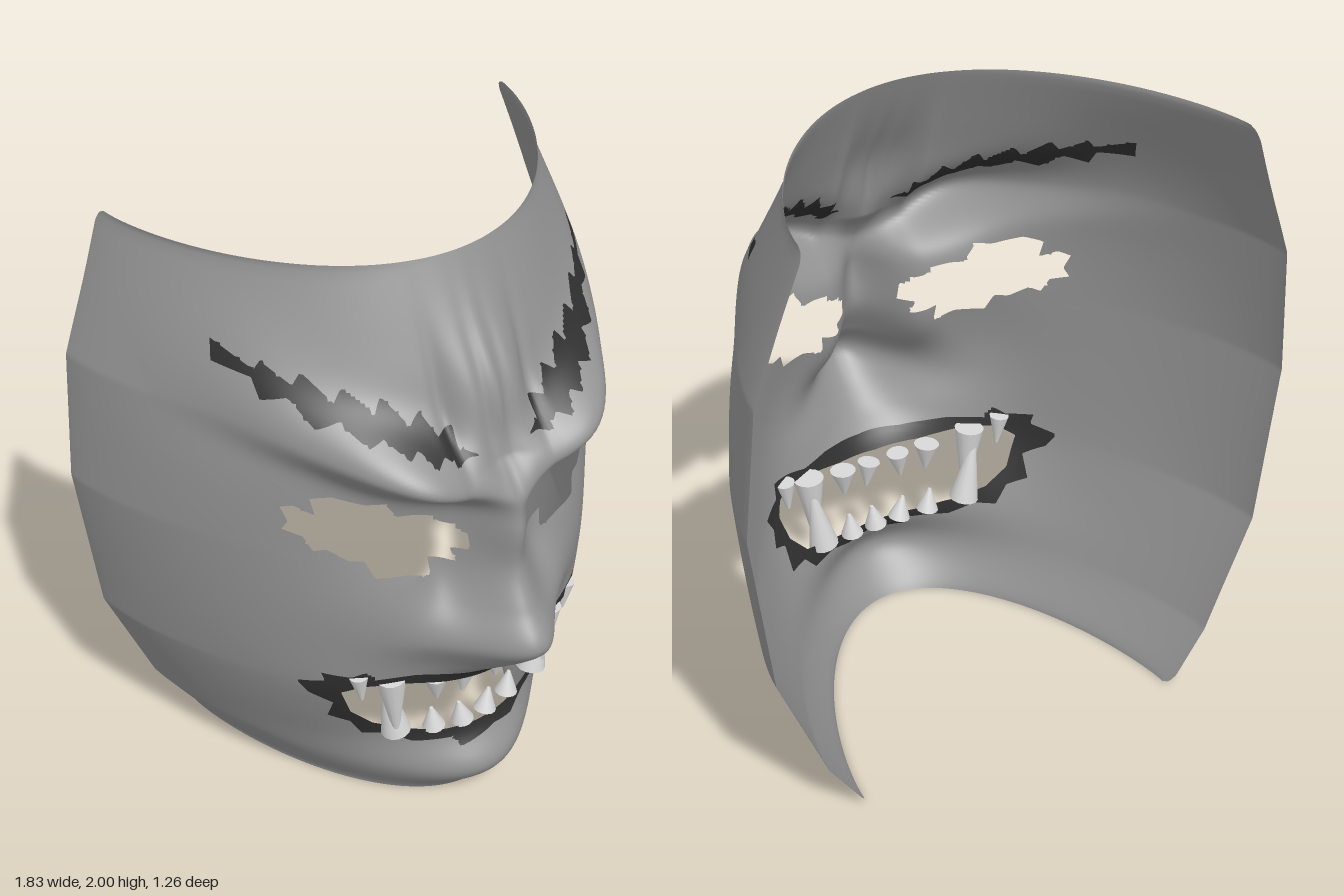
import * as THREE from 'three';

const mat = (name, color, side = THREE.FrontSide) => {
  const m = new THREE.MeshStandardMaterial({ color, side });
  m.name = name;
  return m;
};

// Value at y on a curve through [y, value] points; smooth or straight
function along(points, y, smooth = true) {
  const n = points.length;
  if (y <= points[0][0]) return points[0][1];
  if (y >= points[n - 1][0]) return points[n - 1][1];
  let i = 0;
  while (y > points[i + 1][0]) i++;
  const [y0, a] = points[i], [y1, b] = points[i + 1];
  const h = y1 - y0, t = (y - y0) / h;
  if (!smooth) return a + (b - a) * t;
  const slope = (k) => {
    const p = points[Math.max(k - 1, 0)], q = points[Math.min(k + 1, n - 1)];
    return (q[1] - p[1]) / (q[0] - p[0]);
  };
  const t2 = t * t, t3 = t2 * t;
  return a * (2 * t3 - 3 * t2 + 1) + b * (3 * t2 - 2 * t3)
    + h * slope(i) * (t3 - 2 * t2 + t) + h * slope(i + 1) * (t3 - t2);
}
const bell = (d, s) => Math.exp(-(d * d) / (2 * s * s));

// Profiles from the bottom edge to the top edge
const WIDTH = [[0, 0.56], [0.19, 0.69], [0.58, 0.85], [1.12, 0.915], [1.55, 0.88], [2, 0.72]];
const FRONT = [[0, 0.25], [0.15, 0.3], [0.3, 0.305], [0.45, 0.325], [0.6, 0.36], [0.8, 0.38], [1.1, 0.385],
  [1.35, 0.375], [1.5, 0.345], [1.66, 0.305], [1.8, 0.25], [2, 0.165]];
const BACK = [[0, -0.585], [0.012, -0.61], [0.04, -0.622], [1.1, -0.605], [1.96, -0.63], [1.988, -0.62], [2, -0.595]];
const NOSE = [[0.5, 0], [0.59, 0.035], [0.66, 0.11], [0.74, 0.19], [0.82, 0.245], [0.93, 0.175],
  [1.05, 0.115], [1.2, 0.125], [1.3, 0.07], [1.42, 0]];
const BROW = [[0, 0.05], [0.1, 0.095], [0.25, 0.17], [0.33, 0.185], [0.41, 0.165], [0.52, 0.1], [0.66, 0.03], [0.78, 0]];

// Depth of the face at x, y
function depth(x, y) {
  const ax = Math.abs(x);
  // straight-sided outline at the rim, smooth curvature towards the middle
  const edge = along(WIDTH, y, false), rim = Math.pow(Math.min(ax / edge, 1), 6);
  const s = Math.min(ax / (along(WIDTH, y) * (1 - rim) + edge * rim), 1);
  const zb = along(BACK, y, false);
  let z = zb + (along(FRONT, y) - zb) * Math.pow(1 - s * s, 0.7);
  // nose
  const noseWidth = along([[0.6, 0.12], [0.82, 0.11], [1.05, 0.065], [1.3, 0.06]], y);
  z += along(NOSE, y) * bell(x, noseWidth);
  // nostril wings and cheeks, steeper underneath
  z += 0.04 * bell(ax - 0.19, 0.09) * bell(y - 0.8, y < 0.8 ? 0.06 : 0.09);
  z += 0.035 * bell(ax - 0.38, 0.12) * bell(y - 0.88, 0.13);
  z -= 0.03 * bell(ax - 0.17, 0.05) * bell(y - 1.02, 0.1);
  // fullness around the mouth corners
  z += 0.045 * bell(ax - 0.48, 0.12) * bell(y - 0.52, 0.18);
  // slanted brow ridge over sunken eyes
  const dy = y - (1.32 + 0.36 * ax);
  z += along(BROW, ax) * bell(dy, dy > 0 ? 0.09 : 0.05);
  z -= 0.035 * bell(ax - 0.25, 0.12) * bell(y - 1.2, 0.09);
  // temples
  z += 0.03 * bell(ax - 0.62, 0.1) * bell(y - 1.72, 0.12);
  // raised frown with wrinkles
  const frown = bell(y - 1.6, 0.14);
  z += 0.06 * bell(x, 0.07) * frown;
  for (const w of [0.035, 0.15]) z -= 0.016 * bell(ax - w, 0.016) * frown;
  z += 0.015 * bell(ax - 0.09, 0.03) * frown;
  // chin
  z += 0.085 * bell(x, 0.2) * bell(y - 0.14, 0.075);
  return z;
}

// Outlines on the face, as x, y points
const mirrored = (pts) => pts.map(([x, y]) => [-x, y]);
const EYE = [[0.105, 1.16], [0.14, 1.19], [0.17, 1.2], [0.2, 1.23], [0.25, 1.24], [0.29, 1.24], [0.33, 1.3], [0.38, 1.3],
  [0.46, 1.33], [0.51, 1.32], [0.5, 1.26], [0.545, 1.29], [0.575, 1.28], [0.56, 1.23], [0.575, 1.2],
  [0.53, 1.18], [0.51, 1.13], [0.48, 1.14], [0.43, 1.1], [0.39, 1.1], [0.37, 1.04], [0.28, 1.04],
  [0.205, 1.015], [0.21, 1.08], [0.13, 1.05], [0.145, 1.1], [0.1, 1.1]];
const BROW_HAIR = [[0.08, 1.46], [0.14, 1.49], [0.135, 1.545], [0.19, 1.53], [0.22, 1.6], [0.26, 1.57],
  [0.31, 1.65], [0.34, 1.61], [0.4, 1.675], [0.43, 1.64], [0.48, 1.715], [0.51, 1.68], [0.56, 1.735], [0.58, 1.71],
  [0.64, 1.77], [0.655, 1.71], [0.59, 1.69], [0.59, 1.635], [0.53, 1.65], [0.5, 1.58], [0.44, 1.6], [0.4, 1.545],
  [0.35, 1.56], [0.31, 1.51], [0.27, 1.525], [0.24, 1.475], [0.2, 1.49], [0.16, 1.45], [0.12, 1.465]];
const MOUTH = [[-0.45, 0.56], [-0.4, 0.59], [-0.3, 0.59], [-0.15, 0.56], [0, 0.55], [0.15, 0.56], [0.3, 0.59],
  [0.43, 0.585], [0.45, 0.54], [0.42, 0.45], [0.35, 0.37], [0.24, 0.33], [0.12, 0.305], [0, 0.3],
  [-0.12, 0.305], [-0.24, 0.335], [-0.34, 0.38], [-0.41, 0.45]];
const LIPS = [[-0.55, 0.59], [-0.49, 0.61], [-0.5, 0.645], [-0.43, 0.635], [-0.4, 0.655], [-0.36, 0.62], [-0.25, 0.625],
  [-0.1, 0.605], [0.05, 0.605], [0.2, 0.62], [0.3, 0.615], [0.38, 0.64], [0.45, 0.655], [0.45, 0.6],
  [0.52, 0.585], [0.49, 0.53], [0.5, 0.48], [0.45, 0.45], [0.44, 0.36], [0.37, 0.35], [0.32, 0.29],
  [0.22, 0.285], [0.14, 0.25], [0.06, 0.26], [-0.08, 0.235], [-0.1, 0.27], [-0.22, 0.275], [-0.3, 0.32],
  [-0.36, 0.32], [-0.4, 0.39], [-0.46, 0.42], [-0.46, 0.5], [-0.52, 0.54]];
const HOLES = [EYE, mirrored(EYE), MOUTH];
const PAINT = { eyebrowLeft: BROW_HAIR, eyebrowRight: mirrored(BROW_HAIR), lips: LIPS };

function inside(poly, x, y) {
  let hit = false;
  poly.forEach(([x1, y1], i) => {
    const [x0, y0] = poly.at(i - 1);
    if ((y0 > y) !== (y1 > y) && x < x0 + ((x1 - x0) * (y - y0)) / (y1 - y0)) hit = !hit;
  });
  return hit;
}

// Pull a grid point onto a nearby outline so that cuts are clean
function snap(x, y, outlines) {
  let best = 0.006, out = [x, y];
  for (const poly of outlines) poly.forEach(([x1, y1], i) => {
    const [x0, y0] = poly.at(i - 1);
    const dx = x1 - x0, dy = y1 - y0;
    const t = THREE.MathUtils.clamp(((x - x0) * dx + (y - y0) * dy) / (dx * dx + dy * dy), 0, 1);
    const px = x0 + dx * t, py = y0 + dy * t, d = Math.hypot(px - x, py - y);
    if (d < best) { best = d; out = [px, py]; }
  });
  return out;
}

// Face shell from cross-sections, sorted into skin, painted parts and holes
function buildShell(group, skin, paint) {
  const NX = 240, NY = 220, pos = [], all = [];
  const outlines = [...HOLES, ...Object.values(PAINT)];
  for (let j = 0; j <= NY; j++) for (let i = 0; i <= NX; i++) {
    const gy = (2 * j) / NY;
    const gx = along(WIDTH, gy, false) * Math.sin((i / NX - 0.5) * Math.PI);
    const [x, y] = snap(gx, gy, outlines);
    pos.push(x, y, depth(x, y));
  }
  for (let j = 0; j < NY; j++) for (let i = 0; i < NX; i++) {
    const a = j * (NX + 1) + i, b = a + 1, c = a + NX + 1, d = c + 1;
    if (i < NX / 2) all.push([a, b, d], [a, d, c]);
    else all.push([a, b, c], [b, d, c]);
  }
  const base = new THREE.BufferGeometry();
  base.setAttribute('position', new THREE.Float32BufferAttribute(pos, 3));
  base.setIndex(all.flat());
  base.computeVertexNormals();

  const parts = { face: [] };
  for (const name in PAINT) parts[name] = [];
  for (const tri of all) {
    const x = tri.reduce((s, k) => s + pos[3 * k], 0) / 3;
    const y = tri.reduce((s, k) => s + pos[3 * k + 1], 0) / 3;
    if (HOLES.some((h) => inside(h, x, y))) continue;
    const name = Object.keys(PAINT).find((k) => inside(PAINT[k], x, y)) || 'face';
    parts[name].push(...tri);
  }
  for (const name in parts) {
    const g = base.clone();
    g.setIndex(parts[name]);
    const mesh = new THREE.Mesh(g, name === 'face' ? skin : paint);
    mesh.name = name;
    group.add(mesh);
  }
}

// Conical tooth from its root to its tip, set back behind the lips
function tooth(name, x0, y0, x1, y1, radius, setback, material) {
  const z = depth(x0, y0) - setback;
  const root = new THREE.Vector3(x0, y0, z), tip = new THREE.Vector3(x1, y1, z);
  const dir = tip.clone().sub(root), len = dir.length();
  const mesh = new THREE.Mesh(new THREE.CylinderGeometry(0.006, radius, len, 14), material);
  mesh.position.copy(root).add(tip).multiplyScalar(0.5);
  mesh.quaternion.setFromUnitVectors(new THREE.Vector3(0, 1, 0), dir.normalize());
  mesh.name = name;
  return mesh;
}

export function createModel() {
  const group = new THREE.Group();
  group.name = 'mask';
  const skin = mat('grey skin', 0x929292, THREE.DoubleSide);
  const black = mat('black paint', 0x2f2f2f, THREE.DoubleSide);
  const ivory = mat('pale grey teeth', 0xd8d8d8);
  buildShell(group, skin, black);

  // teeth on both sides
  const teeth = new THREE.Group();
  teeth.name = 'teeth';
  for (const s of [1, -1]) {
    teeth.add(
      tooth('upperFang', s * 0.305, 0.6, s * 0.285, 0.34, 0.05, 0.03, ivory),
      tooth('lowerFang', s * 0.27, 0.34, s * 0.31, 0.57, 0.05, 0, ivory),
      tooth('upperTooth', s * 0.055, 0.55, s * 0.065, 0.46, 0.038, 0.05, ivory),
      tooth('upperTooth', s * 0.16, 0.56, s * 0.155, 0.465, 0.043, 0.04, ivory),
      tooth('upperTooth', s * 0.405, 0.635, s * 0.395, 0.53, 0.033, 0.015, ivory),
      tooth('lowerTooth', s * 0.045, 0.305, s * 0.06, 0.385, 0.038, 0.025, ivory),
      tooth('lowerTooth', s * 0.145, 0.315, s * 0.155, 0.395, 0.038, 0.02, ivory),
    );
  }
  group.add(teeth);
  return group;
}
